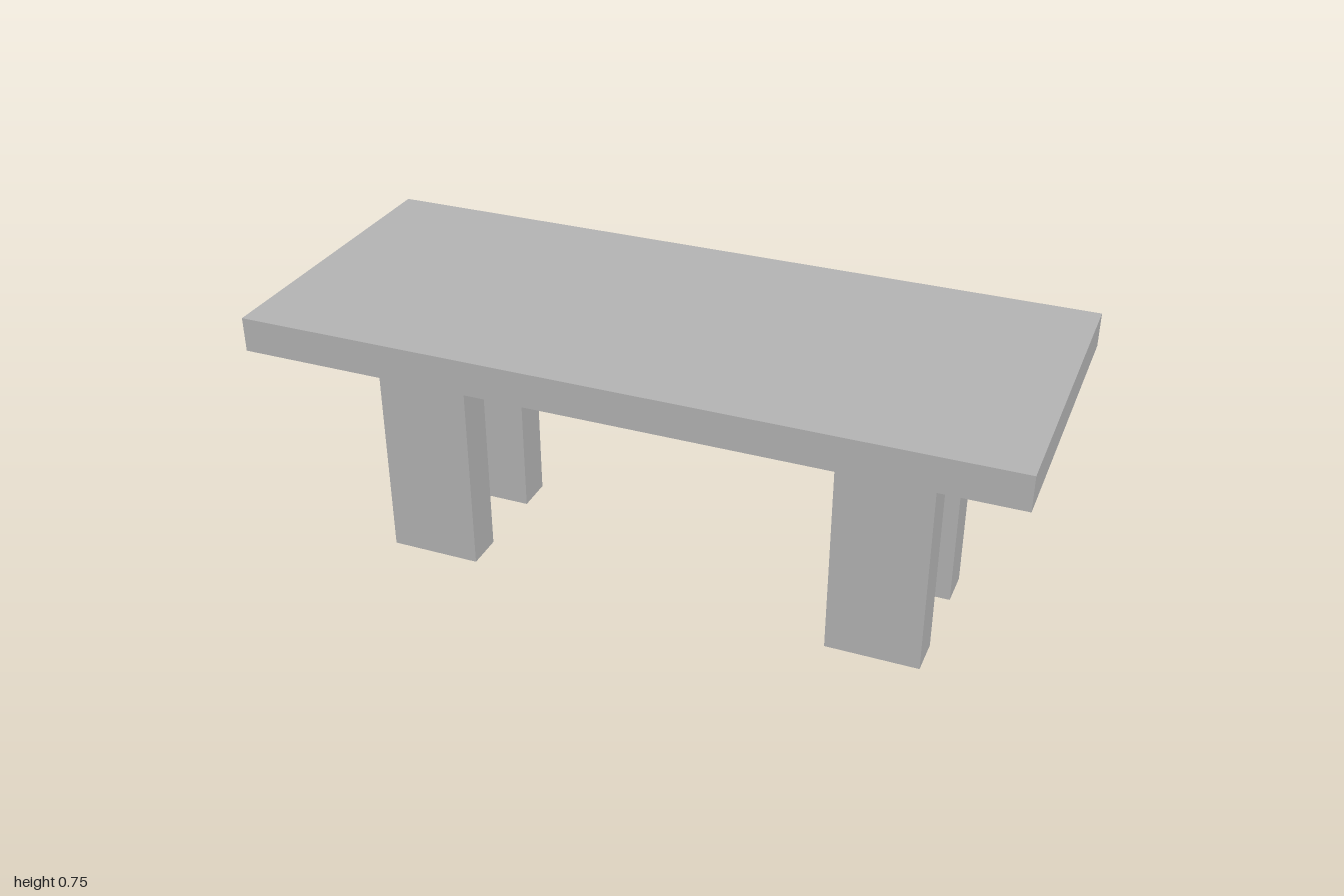
import * as THREE from 'three';

const TOP = 0.75, UNDER = 0.658;   // tabletop upper and lower faces
const RAIL = 0.104;                // thickness of legs and rails
const OUTER = 0.209;               // half depth of the base

// Extrude an x-y outline along z, centred on the given z
function slab(points, depth, z, material, name) {
  const shape = new THREE.Shape(points.map(([x, y]) => new THREE.Vector2(x, y)));
  const geometry = new THREE.ExtrudeGeometry(shape, { depth, bevelEnabled: false });
  geometry.translate(0, 0, z - depth / 2);
  const mesh = new THREE.Mesh(geometry, material);
  mesh.name = name;
  return mesh;
}

export function createModel() {
  const group = new THREE.Group();
  group.name = 'table';
  const grey = new THREE.MeshStandardMaterial({ color: 0xb2b2b2 });
  grey.name = 'grey';

  // Tabletop
  const top = new THREE.Mesh(new THREE.BoxGeometry(2, TOP - UNDER, 0.834), grey);
  top.position.y = (TOP + UNDER) / 2;
  top.name = 'tabletop';
  group.add(top);

  // Long sides: two legs joined by a stepped rail
  const half = [[0.25, 0.597], [0.25, 0.54], [0.5, 0.54], [0.5, 0], [0.75, 0], [0.75, UNDER]];
  const mirrored = half.map(([x, y]) => [-x, y]).reverse();
  for (const s of [1, -1]) {
    group.add(slab([...mirrored, ...half], RAIL, s * (OUTER - RAIL / 2), grey,
      s > 0 ? 'frontLegsAndRail' : 'backLegsAndRail'));
  }

  // Ends: stepped crosspieces between the legs
  const inner = 2 * (OUTER - RAIL);
  const end = [[0.5, UNDER], [0.5, 0.602], [0.65, 0.602], [0.65, 0.551], [0.75, 0.551], [0.75, UNDER]];
  for (const s of [1, -1]) {
    group.add(slab(end.map(([x, y]) => [s * x, y]), inner, 0, grey,
      s > 0 ? 'leftCrosspiece' : 'rightCrosspiece'));
  }
  return group;
}
